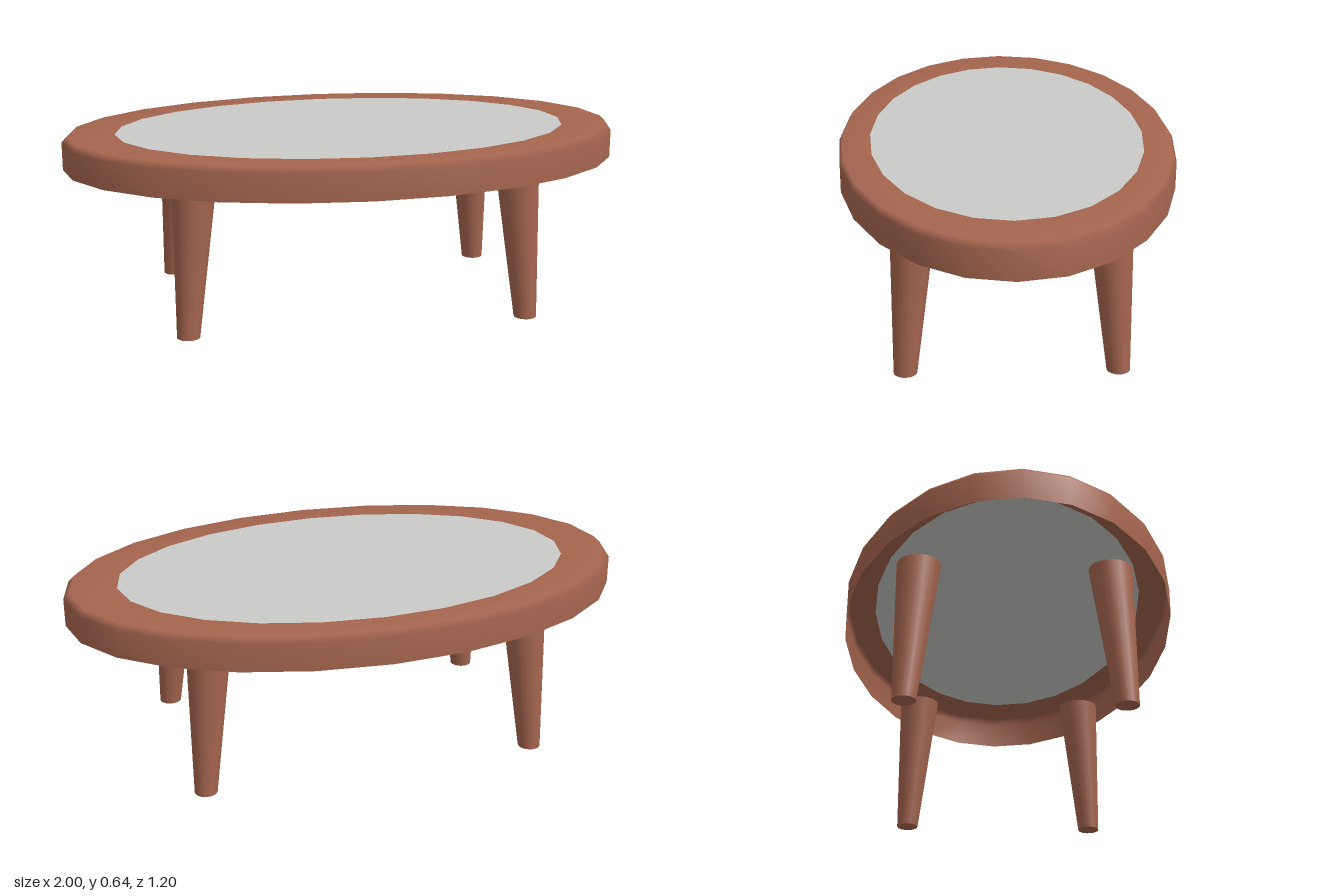
import * as THREE from 'three';

const wood = new THREE.MeshStandardMaterial({ color: 0xa5654e, side: THREE.DoubleSide });
wood.name = 'wood';
const glass = new THREE.MeshStandardMaterial({ color: 0xcacac8, side: THREE.DoubleSide });
glass.name = 'glass';

const SEGMENTS = 24;
const DEPTH = 0.6; // ellipse depth relative to its width
const LEG_HEIGHT = 0.52;

// Lathe squashed along z into an ellipse
function ellipticalLathe(profile, name, material) {
  const points = profile.map(([r, y]) => new THREE.Vector2(r, y));
  const geometry = new THREE.LatheGeometry(points, SEGMENTS);
  geometry.scale(1, 1, DEPTH);
  const mesh = new THREE.Mesh(geometry, material);
  mesh.name = name;
  return mesh;
}

// Tapered leg whose top leans inwards, keeping its outer sides upright
function leg(sx, sz, name) {
  const geometry = new THREE.CylinderGeometry(0.075, 0.04, LEG_HEIGHT, 20);
  geometry.translate(0, LEG_HEIGHT / 2, 0);
  const lean = -0.035 / LEG_HEIGHT;
  const shear = new THREE.Matrix4().set(
    1, sx * lean, 0, sx * 0.6,
    0, 1, 0, 0,
    0, sz * lean, 1, sz * 0.36,
    0, 0, 0, 1
  );
  geometry.applyMatrix4(shear);
  const mesh = new THREE.Mesh(geometry, wood);
  mesh.name = name;
  return mesh;
}

export function createModel() {
  const table = new THREE.Group();
  table.name = 'ovalTable';

  // Hollow rim: outer wall, bevel and flat top ring
  table.add(ellipticalLathe(
    [[1, 0.52], [1, 0.62], [0.98, 0.64], [0.815, 0.64]], 'tableRim', wood));

  // Inset panel with a softly turned-down edge
  table.add(ellipticalLathe(
    [[0.82, 0.6375], [0.815, 0.64], [0, 0.64]], 'glassPanel', glass));

  // Four legs
  for (const [sz, end] of [[1, 'front'], [-1, 'back']]) {
    for (const [sx, side] of [[1, 'Left'], [-1, 'Right']]) {
      table.add(leg(sx, sz, `${end}${side}Leg`));
    }
  }
  return table;
}
